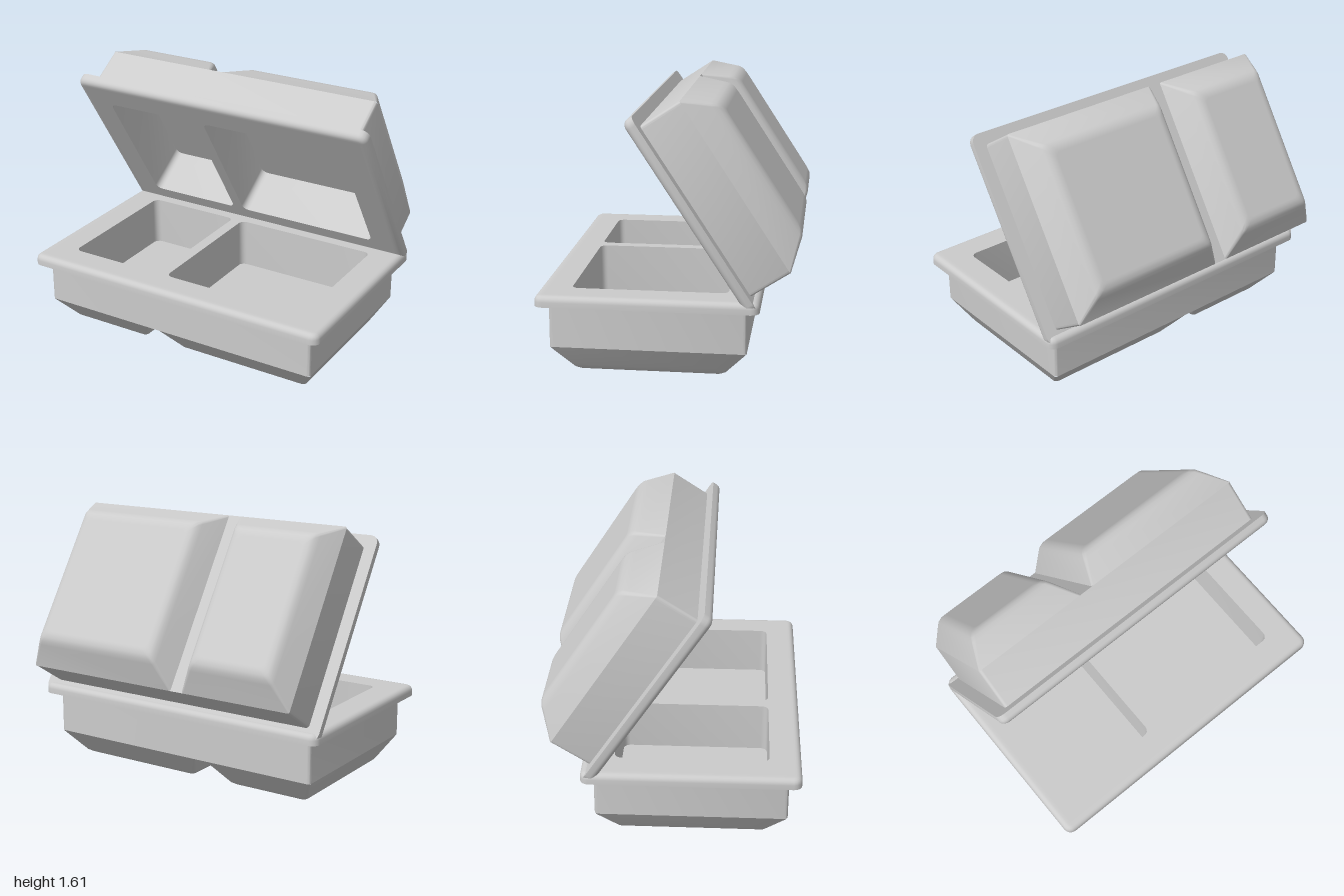
import * as THREE from 'three';
import { toCreasedNormals } from 'three/addons/utils/BufferGeometryUtils.js';

const material = new THREE.MeshStandardMaterial({ color: 0xcccccc });

// Rounded rectangle outline (x, z), centred on cx with half sizes hx, hz
function outline(cx, hx, hz, r) {
  const points = [];
  const corners = [[1, 1], [-1, 1], [-1, -1], [1, -1]];
  corners.forEach(([sx, sz], q) => {
    for (let i = 0; i <= 4; i++) {
      const t = (q + i / 4) * Math.PI / 2;
      points.push(new THREE.Vector2(
        cx + sx * (hx - r) + r * Math.cos(t), sz * (hz - r) + r * Math.sin(t)));
    }
  });
  return points;
}

// Wall through rings of { y, points }; faces outward when listed top to bottom
function loft(name, rings, cap = false) {
  const pos = [];
  const put = (ring, j) => {
    const p = ring.points[j % ring.points.length];
    pos.push(p.x, ring.y, p.y);
  };
  for (let i = 0; i < rings.length - 1; i++) {
    const a = rings[i], b = rings[i + 1];
    for (let j = 0; j < a.points.length; j++) {
      put(a, j); put(a, j + 1); put(b, j);
      put(b, j); put(a, j + 1); put(b, j + 1);
    }
  }
  if (cap) {
    const last = rings[rings.length - 1];
    for (let j = 1; j < last.points.length - 1; j++) {
      put(last, 0); put(last, j); put(last, j + 1);
    }
  }
  const geo = new THREE.BufferGeometry();
  geo.setAttribute('position', new THREE.Float32BufferAttribute(pos, 3));
  const mesh = new THREE.Mesh(toCreasedNormals(geo, 0.5), material);
  mesh.name = name;
  return mesh;
}

// Flat horizontal panel, facing up or down, with optional holes
function panel(name, points, y, up, holes = []) {
  const shape = new THREE.Shape(points);
  holes.forEach((h) => shape.holes.push(new THREE.Path(h)));
  const geo = new THREE.ShapeGeometry(shape);
  geo.rotateX(up ? -Math.PI / 2 : Math.PI / 2);
  geo.translate(0, y, 0);
  const mesh = new THREE.Mesh(geo, material);
  mesh.name = name;
  return mesh;
}

// One half shell: rim face at y = 0, compartments hanging below
function createTray(name) {
  const tray = new THREE.Group();
  tray.name = name;
  const rimY = -0.065, bodyY = -0.325, floorY = -0.312, bottomY = -0.495;

  // Rim with a rounded upper edge
  const rimRing = (inset, y) => ({
    y, points: outline(0, 1 - inset, 0.6425 - inset, Math.max(0.05 - inset, 0.012)),
  });
  const R = 0.035;
  const rim = [rimRing(R + 0.015, 0)];
  for (let i = 0; i <= 5; i++) {
    const t = (i / 5) * Math.PI / 2;
    rim.push(rimRing(R * (1 - Math.sin(t)), -R * (1 - Math.cos(t))));
  }
  rim.push(rimRing(0, rimY));
  tray.add(loft('rimEdge', rim));

  // Straight-sided body
  const body = outline(0, 0.925, 0.57, 0.02);
  tray.add(panel('rimUnderside', rim[rim.length - 1].points, rimY, false, [body]));
  tray.add(loft('bodyWall', [{ y: rimY, points: body }, { y: bodyY, points: body }]));
  tray.add(panel('dividerUnderside', outline(-0.16, 0.065, 0.57, 0.001), bodyY, false));

  // Inner wells
  const wells = [[-0.81, -0.195], [-0.125, 0.81]].map(
    ([x0, x1]) => outline((x0 + x1) / 2, (x1 - x0) / 2, 0.455, 0.04));
  tray.add(panel('rimFace', rim[0].points, 0, true, wells));
  wells.forEach((well) => {
    tray.add(loft('wellWall', [{ y: floorY, points: well }, { y: 0, points: well }]));
    tray.add(panel('wellFloor', well, floorY, true));
  });

  // Tapered outer compartments: height above bottom, x inset, z inset
  const taper = [[0.17, 0, 0], [0.045, 0.075, 0.105], [0.022, 0.09, 0.124],
    [0.007, 0.11, 0.147], [0, 0.137, 0.175], [0, 0.15, 0.19]];
  [[-0.925, -0.2], [-0.12, 0.925]].forEach(([x0, x1]) => {
    const rings = taper.map(([h, ix, iz]) => ({
      y: bottomY + h,
      points: outline((x0 + x1) / 2, (x1 - x0) / 2 - ix, 0.57 - iz, 0.012 + ix * 0.15),
    }));
    tray.add(loft('taperedCompartment', rings, true));
  });
  return tray;
}

export function createModel() {
  const model = new THREE.Group();
  model.name = 'hingedFoodBox';

  const base = createTray('base');
  base.position.set(0, 0.495, 0.1075);

  // Lid: the same shell turned over and swung open on the back edge
  const lid = createTray('lid');
  lid.rotation.x = Math.PI - THREE.MathUtils.degToRad(56.9);
  lid.position.set(0, 0.957, -0.119);

  model.add(base, lid);
  return model;
}
